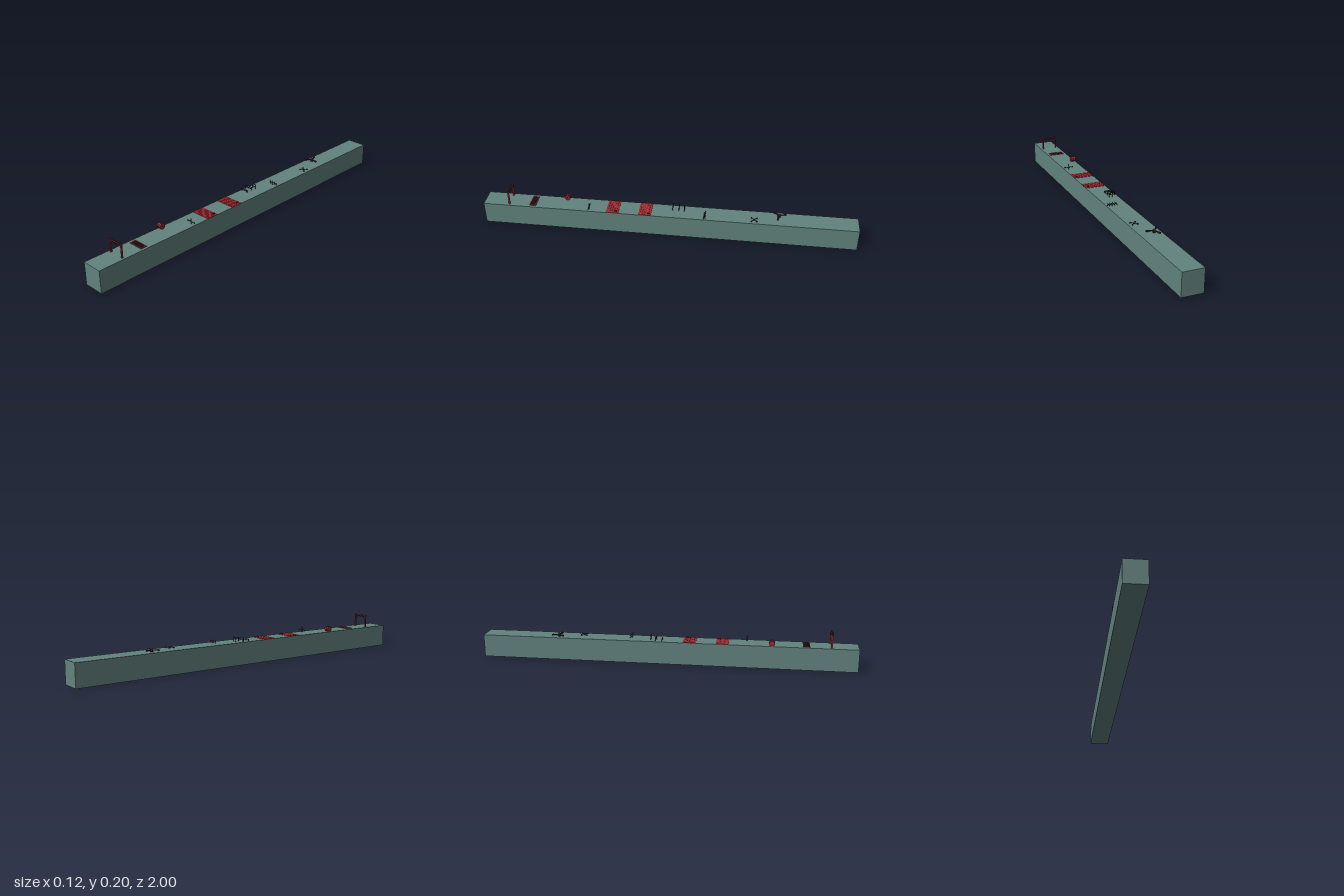
import * as THREE from 'three';

const mat = (color) => new THREE.MeshStandardMaterial({ color, flatShading: true });
const FLOOR = 0.121;

export function createModel() {
  const model = new THREE.Group();
  const teal = mat(0x62837f), red = mat(0x9c262c), dark = mat(0x2b2226);

  const group = (name, x, y, z) => {
    const g = new THREE.Group();
    g.name = name;
    g.position.set(x, y, z);
    model.add(g);
    return g;
  };
  const add = (parent, name, geo, material, x = 0, y = 0, z = 0) => {
    const m = new THREE.Mesh(geo, material);
    m.name = name;
    m.position.set(x, y, z);
    parent.add(m);
    return m;
  };
  const box = (parent, name, material, w, h, d, x, y, z) =>
    add(parent, name, new THREE.BoxGeometry(w, h, d), material, x, y, z);
  // Thin bar between two points
  const bar = (parent, name, material, a, b, r, rEnd = r) => {
    const p = new THREE.Vector3(...a), q = new THREE.Vector3(...b), d = q.clone().sub(p);
    const m = add(parent, name, new THREE.CylinderGeometry(rEnd, r, d.length(), 6), material);
    m.position.copy(p).add(q).multiplyScalar(0.5);
    m.quaternion.setFromUnitVectors(new THREE.Vector3(0, 1, 0), d.normalize());
    return m;
  };

  // Long track block
  box(model, 'track', teal, 0.112, FLOOR, 2, -0.0035, FLOOR / 2, 0);

  // Gate with a spiked roller between two posts
  const gate = group('spikedGate', -0.0025, FLOOR, 0.86);
  for (const s of [-1, 1]) {
    box(gate, 'gatePost', red, 0.006, 0.072, 0.008, s * 0.0405, 0.036, 0);
    box(gate, 'axleBracket', dark, 0.008, 0.006, 0.006, s * 0.034, 0.066, 0);
  }
  bar(gate, 'gateRoller', red, [-0.04, 0.066, 0], [0.04, 0.066, 0], 0.0035);
  for (let i = 0; i < 10; i++) {
    const x = -0.027 + i * 0.006;
    for (let k = 0; k < 4; k++) {
      const a = k * Math.PI / 2;
      bar(gate, 'rollerSpike', dark, [x, 0.066, 0],
        [x, 0.066 + 0.011 * Math.cos(a), 0.011 * Math.sin(a)], 0.0022, 0);
    }
  }

  // Framed pit filled with short spikes
  const pit = group('spikePit', -0.0025, FLOOR, 0.733);
  for (const s of [-1, 1]) {
    box(pit, 'pitFrameLong', red, 0.082, 0.003, 0.004, 0, 0.0015, s * 0.016);
    box(pit, 'pitFrameShort', red, 0.004, 0.003, 0.028, s * 0.039, 0.0015, 0);
  }
  box(pit, 'pitBed', dark, 0.074, 0.002, 0.028, 0, 0.001, 0);
  for (let i = 0; i < 12; i++) for (let j = 0; j < 4; j++)
    add(pit, 'pitSpike', new THREE.ConeGeometry(0.002, 0.004, 4), dark,
      -0.033 + i * 0.006, 0.004, -0.0105 + j * 0.007);

  // Barrel lying across the edge of the track
  const barrel = group('barrel', -0.0455, FLOOR + 0.0155, 0.556);
  const body = add(barrel, 'barrelBody', new THREE.CylinderGeometry(0.0145, 0.0145, 0.027, 10), red);
  body.rotation.z = Math.PI / 2;
  for (const x of [-0.012, 0, 0.011]) {
    const hoop = add(barrel, 'barrelHoop', new THREE.CylinderGeometry(0.0155, 0.0155, 0.003, 10), x ? red : dark, x);
    hoop.rotation.z = Math.PI / 2;
  }
  bar(barrel, 'barrelAxle', dark, [-0.0135, 0, 0], [0.016, 0, 0], 0.003);

  // Upright turnstile with crossed arms
  const turnstile = group('turnstile', 0.029, FLOOR, 0.424);
  bar(turnstile, 'turnstilePost', dark, [0, 0, 0], [0, 0.031, 0], 0.0022);
  for (const s of [-1, 1]) {
    bar(turnstile, 'turnstileArm', dark, [0, 0.014, 0], [s * 0.027, 0.014, 0], 0.002);
    add(turnstile, 'armTip', new THREE.OctahedronGeometry(0.0035), dark, s * 0.0255, 0.014, 0);
  }

  // Red slatted floor panels with a small latch at one end
  for (const z of [0.297, 0.123]) {
    const panel = group('slattedPanel', -0.0035, FLOOR, z);
    for (let i = 0; i < 6; i++)
      box(panel, 'slat', red, 0.112, 0.002, 0.0102, 0, 0.001, -0.0285 + i * 0.0114);
    for (const dz of [-0.024, -0.014])
      box(panel, 'latch', dark, 0.008, 0.005, 0.003, 0.039, 0.0035, dz);
    box(panel, 'latchBar', dark, 0.003, 0.002, 0.014, 0.039, 0.0055, -0.019);
  }

  // Three hurdles of rising height
  [[-0.021, 0.014, -0.058, -0.008], [-0.055, 0.02, -0.058, -0.008], [-0.083, 0.026, -0.034, -0.006]]
    .forEach(([z, h, x0, x1]) => {
      const hurdle = group('hurdle', 0, FLOOR, z);
      for (const x of [x0 + 0.005, x1 - 0.005])
        bar(hurdle, 'hurdlePost', dark, [x, 0, 0], [x, h, 0], 0.0015);
      for (const y of [h * 0.55, h - 0.001])
        bar(hurdle, 'hurdleRail', dark, [x0, y, 0], [x1, y, 0], 0.0018);
    });

  // Row of crossed stakes
  const stakes = group('crossedStakes', 0.021, FLOOR, -0.195);
  for (let i = 0; i < 4; i++) {
    const x = -0.021 + i * 0.014;
    for (const s of [-1, 1])
      bar(stakes, 'stake', dark, [x - s * 0.006, 0, -s * 0.005], [x + s * 0.006, 0.017, s * 0.005], 0.0016, 0.0008);
  }
  bar(stakes, 'stakeRail', dark, [-0.026, 0.0085, 0], [0.026, 0.0085, 0], 0.0009);

  // Low four-armed floor cross
  const cross = group('floorCross', 0.02, FLOOR, -0.456);
  add(cross, 'crossHub', new THREE.CylinderGeometry(0.004, 0.005, 0.006, 8), dark, 0, 0.003, 0);
  for (const sx of [-1, 1]) for (const sz of [-1, 1]) {
    bar(cross, 'crossArm', dark, [0, 0.003, 0], [sx * 0.014, 0.003, sz * 0.014], 0.0012);
    add(cross, 'crossFoot', new THREE.CylinderGeometry(0.003, 0.0035, 0.006, 6), dark, sx * 0.014, 0.003, sz * 0.014);
  }

  // Three-bladed spinner on a short hub
  const spinner = group('spinner', -0.024, FLOOR, -0.585);
  add(spinner, 'spinnerHub', new THREE.CylinderGeometry(0.007, 0.008, 0.014, 8), dark, 0, 0.007, 0);
  add(spinner, 'spinnerCap', new THREE.CylinderGeometry(0.004, 0.006, 0.004, 8), red, 0, 0.016, 0);
  for (let i = 0; i < 3; i++) {
    const arm = new THREE.Group();
    arm.name = 'spinnerArm';
    arm.rotation.y = -0.2 + i * Math.PI * 2 / 3;
    box(arm, 'blade', dark, 0.034, 0.004, 0.005, 0.021, 0.01, 0);
    box(arm, 'bladeTip', dark, 0.012, 0.006, 0.008, 0.034, 0.01, 0);
    spinner.add(arm);
  }
  return model;
}
